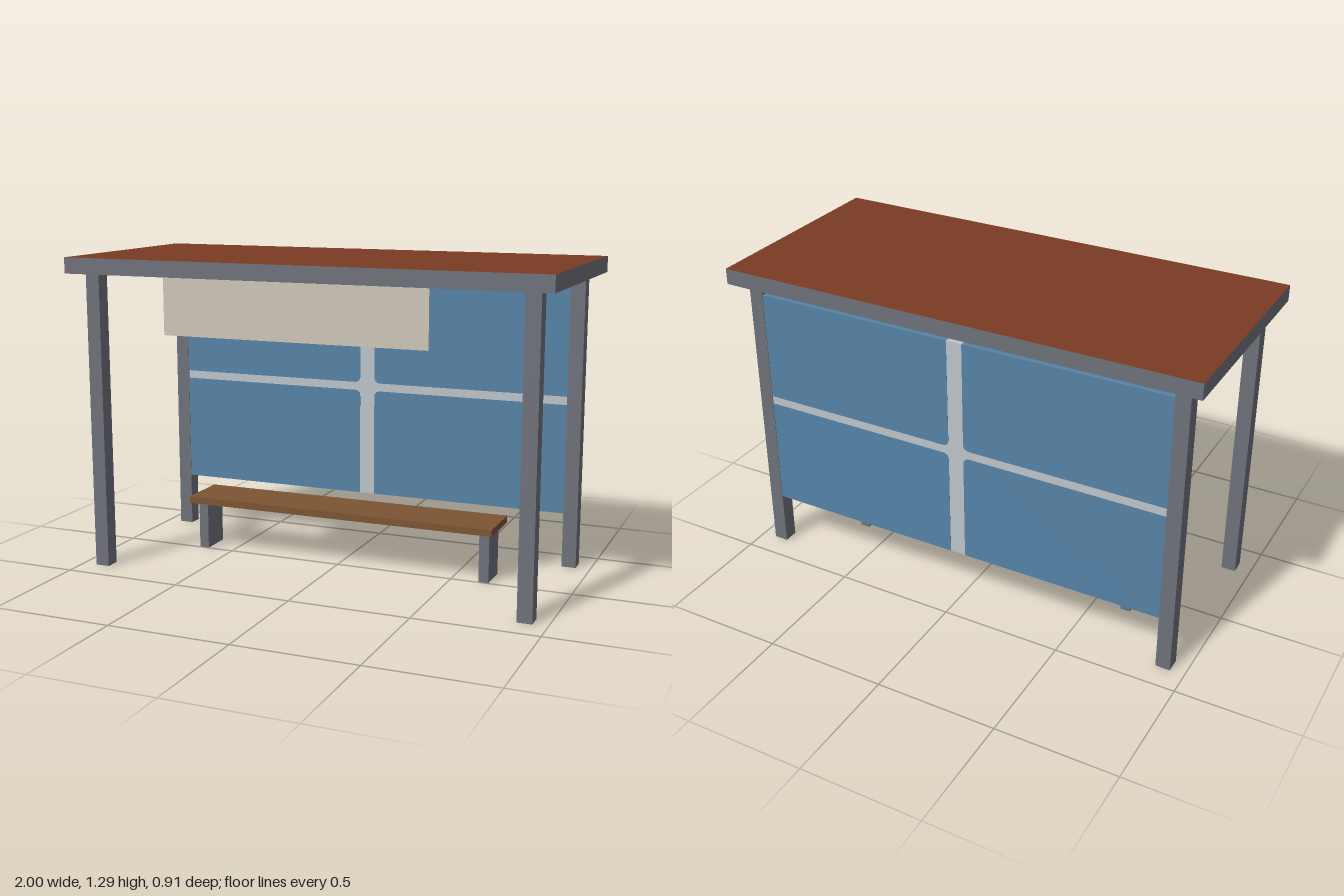
import * as THREE from 'three';

const paint = (name, color) => {
  const m = new THREE.MeshStandardMaterial({ color, side: THREE.DoubleSide });
  m.name = name;
  return m;
};

// Box given by its limits; faces listed in drop are left open (2 = top, 3 = bottom)
function box(name, material, [x0, x1], [y0, y1], [z0, z1], drop = []) {
  const g = new THREE.BoxGeometry(x1 - x0, y1 - y0, z1 - z0);
  g.setIndex(Array.from(g.index.array).filter((_, i) => !drop.includes(Math.floor(i / 6))));
  g.clearGroups();
  g.translate((x0 + x1) / 2, (y0 + y1) / 2, (z0 + z1) / 2);
  const mesh = new THREE.Mesh(g, material);
  mesh.name = name;
  return mesh;
}

// Rectangle with one rounded corner, at the end nearest the panel centre
function paneShape(xIn, xOut, yIn, yOut, r) {
  const sx = Math.sign(xOut - xIn), sy = Math.sign(yOut - yIn);
  const s = new THREE.Shape();
  s.moveTo(xIn + sx * r, yIn);
  s.lineTo(xOut, yIn);
  s.lineTo(xOut, yOut);
  s.lineTo(xIn, yOut);
  s.lineTo(xIn, yIn + sy * r);
  s.quadraticCurveTo(xIn, yIn, xIn + sx * r, yIn);
  return s;
}

export function createModel() {
  const model = new THREE.Group();
  model.name = 'busShelter';
  const steel = paint('darkSteel', 0x6f717a);
  const rust = paint('rustRoof', 0x7a3b22);
  const wood = paint('benchWood', 0x7c5533);
  const glass = paint('blueGlass', 0x5583a6);
  const pale = paint('paleMullion', 0xbdc4c9);
  const cream = paint('creamSign', 0xcdc7b8);

  // Roof: steel rim open below, rust sheet on top
  const roofZ = [-0.457, 0.452];
  model.add(box('roofRim', steel, [-1, 1], [1.23, 1.295], roofZ, [2, 3]));
  const sheet = new THREE.PlaneGeometry(2, roofZ[1] - roofZ[0]);
  sheet.rotateX(-Math.PI / 2);
  sheet.translate(0, 1.295, (roofZ[0] + roofZ[1]) / 2);
  const roof = new THREE.Mesh(sheet, rust);
  roof.name = 'roofSheet';
  model.add(roof);

  // Posts and bench legs, hollow at the foot
  for (const side of [-1, 1]) {
    const span = (a, b) => (side > 0 ? [a, b] : [-b, -a]);
    const label = side > 0 ? 'left' : 'right';
    model.add(box(label + 'FrontPost', steel, span(0.88, 0.94), [0, 1.23], [0.33, 0.392], [3]));
    model.add(box(label + 'BackPost', steel, span(0.88, 0.94), [0, 1.23], [-0.397, -0.335], [3]));
    model.add(box(label + 'BenchLeg', steel, span(0.616, 0.658), [0, 0.21], [-0.138, -0.004], [3]));
  }

  // Bench seat
  model.add(box('benchSeat', wood, [-0.68, 0.68], [0.209, 0.238], [-0.185, 0.042], [3]));

  // Back panel: four panes with one rounded corner each
  const zBack = -0.395, zFront = -0.337;
  const panel = new THREE.Group();
  panel.name = 'backPanel';
  for (const sx of [-1, 1]) {
    for (const [yIn, yOut] of [[0.69, 0.23], [0.725, 1.182]]) {
      const g = new THREE.ExtrudeGeometry(paneShape(sx * 0.033, sx * 0.88, yIn, yOut, 0.028),
        { depth: zFront - zBack, bevelEnabled: false, curveSegments: 6 });
      g.translate(0, 0, zBack);
      const pane = new THREE.Mesh(g, glass);
      pane.name = 'glassPane';
      panel.add(pane);
    }
  }

  // Mullions, with a hub showing behind the rounded pane corners
  const zMid = [zBack + 0.001, zFront - 0.001];
  panel.add(box('uprightMullion', pale, [-0.033, 0.033], [0.23, 1.182], zMid));
  for (const s of [-1, 1]) {
    const x = s > 0 ? [0.033, 0.88] : [-0.88, -0.033];
    const hubX = s > 0 ? [0.033, 0.061] : [-0.061, -0.033];
    panel.add(box('crossMullion', pale, x, [0.69, 0.725], zMid));
    panel.add(box('mullionHub', pale, hubX, [0.662, 0.753], zMid));
  }
  model.add(panel);

  // Sign plate hanging at the front edge of the roof
  model.add(box('signPlate', cream, [-0.545, 0.545], [1.005, 1.23], [0.453, 0.457]));

  return model;
}
